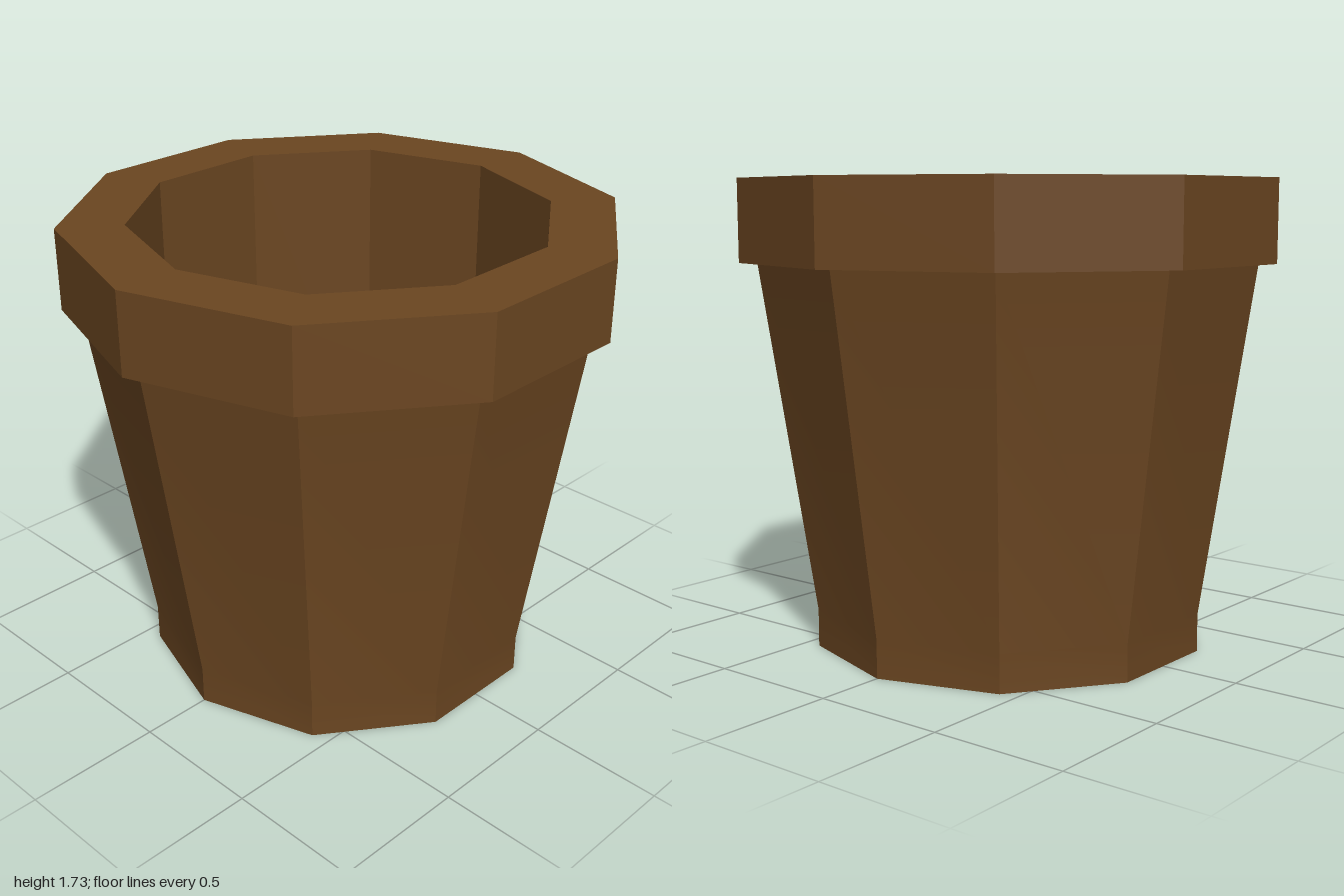
import * as THREE from 'three';
import { toCreasedNormals } from 'three/addons/utils/BufferGeometryUtils.js';

const SIDES = 10;

// Ten-sided ring or solid from [radius, height] pairs, with a corner on the x axis
function turned(name, profile, material) {
  const points = profile.map(([r, y]) => new THREE.Vector2(r, y));
  const lathe = new THREE.LatheGeometry(points, SIDES, Math.PI / 2);
  const mesh = new THREE.Mesh(toCreasedNormals(lathe, 0.4), material);
  mesh.name = name;
  return mesh;
}

export function createModel() {
  const clay = new THREE.MeshStandardMaterial({ color: 0x6b4621 });
  const pot = new THREE.Group();
  pot.name = 'flowerPot';

  // Underside, short upright foot and flaring wall
  pot.add(turned('body', [[0, 0], [0.74, 0], [0.74, 0.14], [0.935, 1.43]], clay));

  // Overhanging collar: underside, outer band and flat top
  pot.add(turned('rim', [[0.935, 1.43], [1, 1.43], [1, 1.73], [0.76, 1.73]], clay));

  // Upright inner wall and floor
  pot.add(turned('inside', [[0.76, 1.73], [0.76, 0.4], [0, 0.4]], clay));

  return pot;
}
